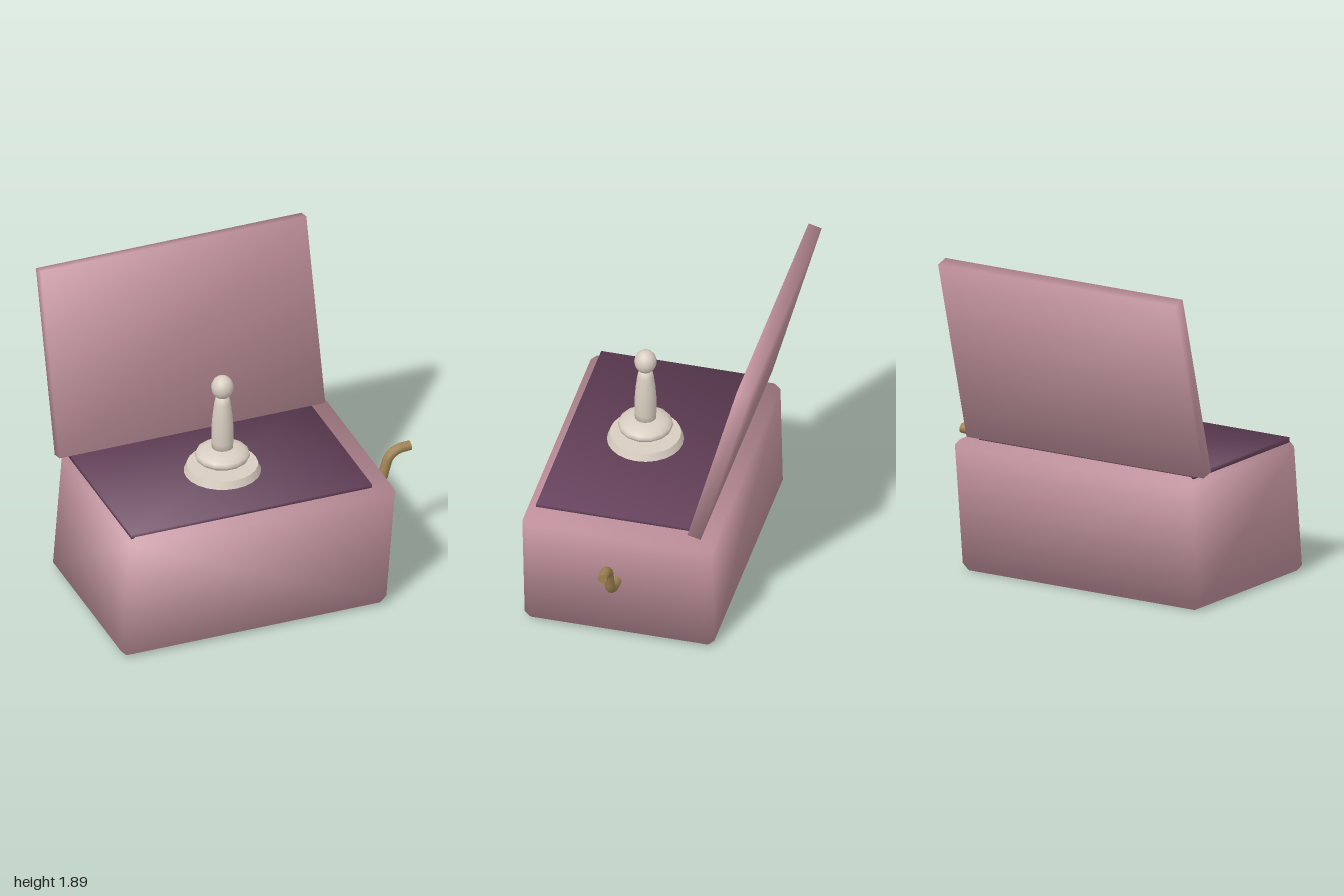
import * as THREE from 'three';
import { ConvexGeometry } from 'three/addons/geometries/ConvexGeometry.js';

const material = (name, color) => {
  const m = new THREE.MeshStandardMaterial({ color });
  m.name = name;
  return m;
};

// Soft shading: every normal points out towards its own corner
function softenBox(geometry) {
  const p = geometry.attributes.position;
  const n = geometry.attributes.normal;
  const s = 1 / Math.sqrt(3);
  for (let i = 0; i < p.count; i++) {
    n.setXYZ(i, Math.sign(p.getX(i)) * s, Math.sign(p.getY(i)) * s, Math.sign(p.getZ(i)) * s);
  }
  return geometry;
}

// Box with one chamfer on every edge
function chamferBox(hx, hy, hz, bevel) {
  const points = [];
  for (const x of [-1, 1]) for (const y of [-1, 1]) for (const z of [-1, 1]) {
    for (let axis = 0; axis < 3; axis++) {
      const inset = [bevel, bevel, bevel];
      inset[axis] = 0;
      points.push(new THREE.Vector3(x * (hx - inset[0]), y * (hy - inset[1]), z * (hz - inset[2])));
    }
  }
  return softenBox(new ConvexGeometry(points));
}

export function createModel() {
  const group = new THREE.Group();
  const pink = material('dustyPink', 0xc4949f);
  const plum = material('plum', 0x6b4560);
  const ivory = material('ivory', 0xd8cdc0);
  const brass = material('brass', 0x9e8252);

  const add = (name, geometry, mat, x, y, z) => {
    const mesh = new THREE.Mesh(geometry, mat);
    mesh.name = name;
    mesh.position.set(x, y, z);
    group.add(mesh);
    return mesh;
  };

  // Leaning chest
  const chest = chamferBox(0.82, 0.385, 0.562, 0.038);
  chest.applyMatrix4(new THREE.Matrix4().set(1, 0.078, 0, 0, 0, 1, 0, 0, 0, 0, 1, 0, 0, 0, 0, 1));
  add('chest', chest, pink, -0.15, 0.385, 0.11);

  // Inner panel and open lid
  add('innerPanel', softenBox(new THREE.BoxGeometry(1.486, 0.03, 0.98)), plum, -0.18, 0.775, 0.125);
  const lid = add('lid', softenBox(new THREE.BoxGeometry(1.64, 1.128, 0.08)), pink, -0.18, 1.335, -0.487);
  lid.rotation.x = -Math.PI / 12;

  // Turned figure
  const fx = -0.18, fz = 0.16;
  add('figureBase', new THREE.CylinderGeometry(0.205, 0.222, 0.045, 24), ivory, fx, 0.8225, fz);
  add('figureCollar', new THREE.SphereGeometry(0.16, 14, 10).scale(1, 0.36, 1), ivory, fx, 0.906, fz);
  const profile = [[0, 0.93], [0.061, 0.93], [0.064, 1.0], [0.064, 1.09], [0.058, 1.17],
    [0.048, 1.25], [0.036, 1.3], [0, 1.3]].map(([r, y]) => new THREE.Vector2(r, y));
  add('figureShaft', new THREE.LatheGeometry(profile, 14), ivory, fx, 0, fz);
  add('figureHead', new THREE.SphereGeometry(0.065, 14, 10).scale(1, 1.12, 1), ivory, fx, 1.357, fz);

  // Bent crank with a flat end
  const path = new THREE.CatmullRomCurve3([[0.62, 0.415], [0.68, 0.417], [0.76, 0.433], [0.82, 0.48],
    [0.843, 0.55], [0.868, 0.62], [0.92, 0.66], [1, 0.67]].map(([x, y]) => new THREE.Vector3(x, y, 0)));
  add('crank', new THREE.TubeGeometry(path, 32, 0.03, 10), brass, 0, 0, 0.11);
  add('crankEnd', new THREE.CircleGeometry(0.03, 10).rotateY(Math.PI / 2), brass, 1, 0.67, 0.11);

  return group;
}
